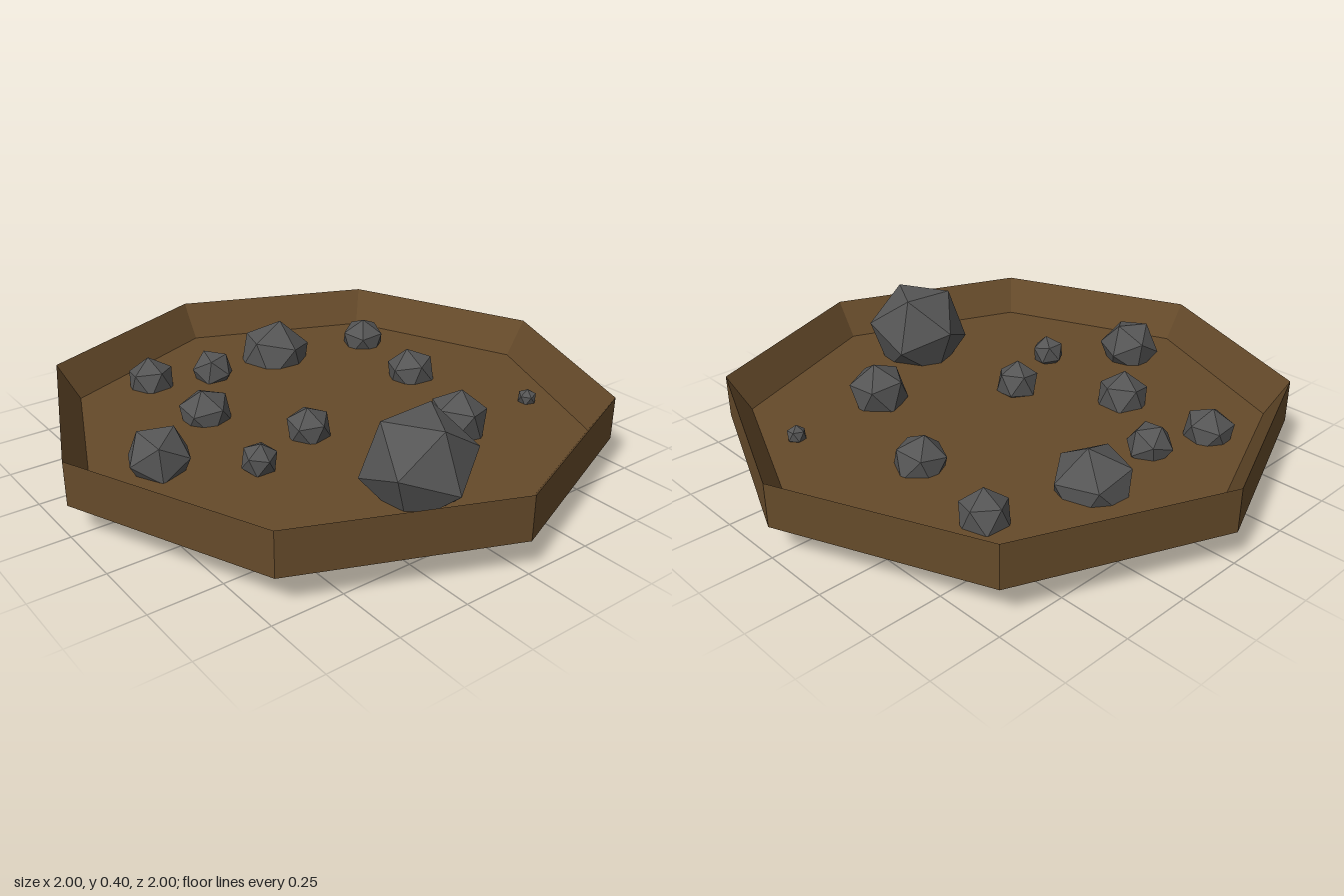
import * as THREE from 'three';

const soil = new THREE.MeshStandardMaterial({ color: 0x654a2a, flatShading: true });
const stone = new THREE.MeshStandardMaterial({ color: 0x555555, flatShading: true });
const UP = new THREE.Vector3(0, 1, 0);
const FACE_AXIS = new THREE.Vector3(1, 1, 1).normalize();
const POINT_AXIS = new THREE.Vector3(1, (1 + Math.sqrt(5)) / 2, 0).normalize();

// Rock: an icosahedron with a face or a point turned up, then spun and tilted
function rock(x, y, z, radius, axis, yaw, tiltX, tiltZ) {
  const geometry = new THREE.IcosahedronGeometry(radius, 0);
  geometry.applyQuaternion(new THREE.Quaternion().setFromUnitVectors(axis, UP));
  geometry.rotateY(yaw).rotateX(tiltX).rotateZ(tiltZ);
  const mesh = new THREE.Mesh(geometry, stone);
  mesh.position.set(x, y, z);
  return mesh;
}

export function createModel() {
  const model = new THREE.Group();
  model.name = 'rockyTray';

  // Eight-sided tray: flat base, upright outside, sloped inside wall, floor
  const profile = [[0, 0.12], [1, 0.12], [1, 0.275], [0.92, 0.145], [0, 0.145]]
    .map(([r, y]) => new THREE.Vector2(r, y));
  const tray = new THREE.Mesh(new THREE.LatheGeometry(profile, 8), soil);
  tray.name = 'tray';
  model.add(tray);

  // Rocks half sunk through the floor: x, y, z, radius, axis, yaw, tiltX, tiltZ
  const rocks = new THREE.Group();
  rocks.name = 'rocks';
  [
    [-0.10, 0.245, 0.61, 0.195, FACE_AXIS, 0.92, 0, 0.05],
    [0.15, 0.15, -0.55, 0.147, POINT_AXIS, 0.3, 0, -0.2],
    [0.28, 0.188, 0.38, 0.112, POINT_AXIS, 0.1, 0, -0.15],
    [-0.675, 0.188, 0, 0.114, FACE_AXIS, 0.5, 0.2, 0.15],
    [-0.36, 0.16, -0.235, 0.1, POINT_AXIS, 0.6, 0.1, 0.2],
    [0.465, 0.162, -0.075, 0.098, POINT_AXIS, 0.2, -0.1, 0.15],
    [-0.38, 0.16, -0.605, 0.094, POINT_AXIS, 0.4, -0.15, 0],
    [0.53, 0.165, -0.455, 0.09, POINT_AXIS, 0.9, 0.15, 0.1],
    [-0.15, 0.17, -0.535, 0.083, FACE_AXIS, 0.2, 0.2, 0],
    [-0.15, 0.175, 0.1, 0.083, POINT_AXIS, 0.5, 0.1, 0.15],
    [-0.42, 0.18, 0.2, 0.064, POINT_AXIS, 0.3, 0.2, 0],
    [0.655, 0.16, 0.357, 0.036, POINT_AXIS, 0, 0.1, 0.1],
  ].forEach((spec, i) => {
    const mesh = rock(...spec);
    mesh.name = `rock${i + 1}`;
    rocks.add(mesh);
  });
  model.add(rocks);
  return model;
}
